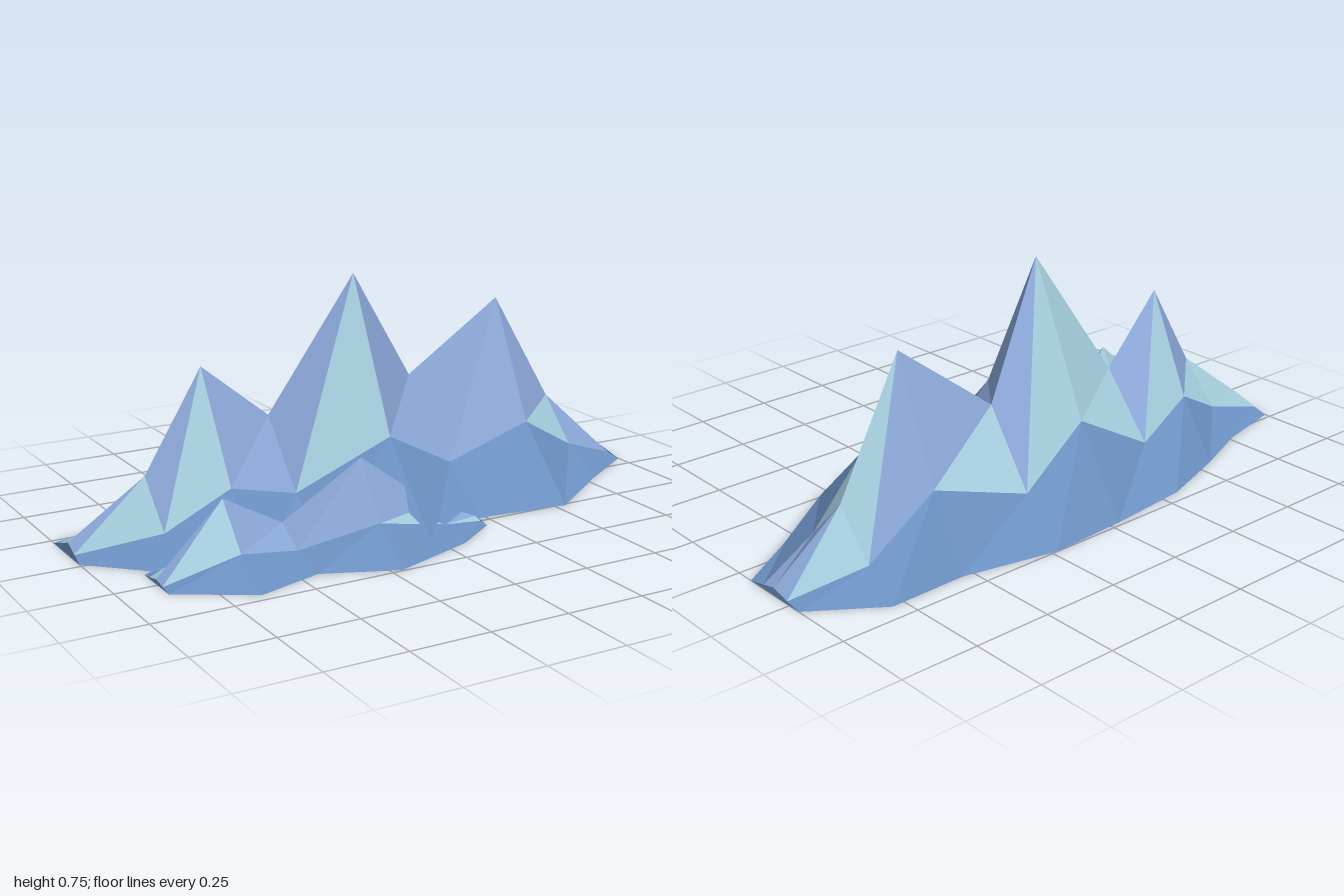
import * as THREE from 'three';

const COLORS = { f: 0x6a8fc0, b: 0x8aa6d6, t: 0xa3cbdc };
const NAMES = { f: 'foothills', b: 'rockSlopes', t: 'iceSlopes' };
const MID = 0.37; // height of the slope break relative to the ridge

// Each station: [x, ridge height, z of front foot, front break, ridge, back break, back foot]
const MAIN = [
  [-1.0, 0.04, -0.015, -0.06, -0.105, -0.18, -0.23],
  [-0.77, 0.22, 0.21, 0.075, -0.06, -0.19, -0.285],
  [-0.565, 0.52, 0.29, 0.1, -0.095, -0.245, -0.37],
  [-0.32, 0.325, 0.22, 0.04, -0.14, -0.31, -0.455],
  [-0.035, 0.75, 0.375, 0.12, -0.105, -0.315, -0.485],
  [0.23, 0.37, 0.225, 0.05, -0.205, -0.365, -0.5],
  [0.535, 0.605, 0.26, 0.035, -0.155, -0.31, -0.435],
  [0.79, 0.225, 0.075, -0.07, -0.21, -0.335, -0.44],
  [1.0, 0.025, -0.06, -0.12, -0.175, -0.24, -0.295],
];
const SMALL = [
  [-0.87, 0.015, 0.33, 0.285, 0.24, 0.195, 0.155],
  [-0.65, 0.21, 0.465, 0.335, 0.22, 0.155, 0.06],
  [-0.44, 0.09, 0.4, 0.28, 0.18, 0.12, 0.04],
  [-0.215, 0.275, 0.495, 0.365, 0.255, 0.14, 0.03],
  [0.065, 0.07, 0.395, 0.285, 0.21, 0.16, 0.1],
  [0.21, 0.012, 0.295, 0.26, 0.23, 0.215, 0.2],
];

// Lofts the stations into faceted rock; front/back hold two colour keys per segment
function mountainRange(name, stations, front, back) {
  const tris = { f: [], b: [], t: [] };
  const rings = stations.map(([x, h, ...zs]) =>
    zs.map((z, k) => [x, [0, h * MID, h, h * MID, 0][k], z]));
  const add = (key, ...pts) => pts.forEach((p) => tris[key].push(...p));

  for (let i = 0; i < rings.length - 1; i++) {
    const a = rings[i], c = rings[i + 1];
    for (let k = 0; k < 5; k++) { // k = 4 closes the underside
      const n = (k + 1) % 5;
      const keys = k === 1 ? front[i] : k === 2 ? back[i] : 'ff';
      add(keys[0], a[k], c[k], c[n]);
      add(keys[1], a[k], c[n], a[n]);
    }
  }
  // End caps
  const first = rings[0], last = rings[rings.length - 1];
  for (let k = 1; k < 4; k++) {
    add('f', first[0], first[k], first[k + 1]);
    add('f', last[0], last[k + 1], last[k]);
  }

  const group = new THREE.Group();
  group.name = name;
  for (const key of Object.keys(tris)) {
    const geo = new THREE.BufferGeometry();
    geo.setAttribute('position', new THREE.Float32BufferAttribute(tris[key], 3));
    geo.computeVertexNormals();
    const mesh = new THREE.Mesh(geo,
      new THREE.MeshStandardMaterial({ color: COLORS[key], flatShading: true }));
    mesh.name = NAMES[key];
    group.add(mesh);
  }
  return group;
}

export function createModel() {
  const model = new THREE.Group();
  model.name = 'mountains';
  model.add(
    mountainRange('mainRange', MAIN,
      ['tb', 'tb', 'bb', 'tb', 'bb', 'bb', 'tb', 'bb'],
      ['tt', 'bt', 'bt', 'tt', 'bt', 'bt', 'tb', 'bt']),
    mountainRange('frontRange', SMALL,
      ['tb', 'bb', 'bb', 'tb', 'tb'],
      ['tt', 'bt', 'bt', 'tt', 'bt']),
  );
  return model;
}
